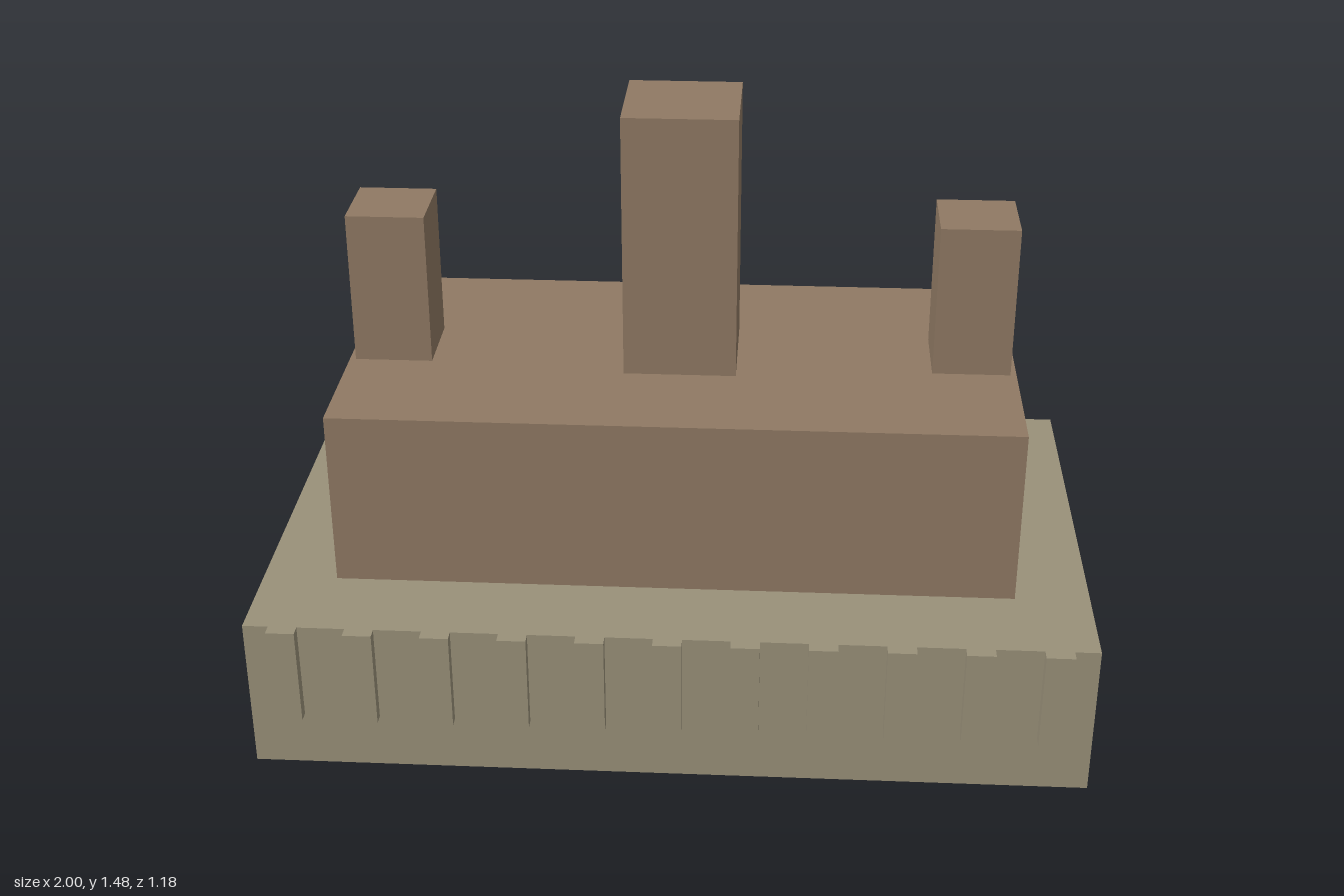
import * as THREE from 'three';

const stone = new THREE.MeshStandardMaterial({ color: 0x999079, side: THREE.DoubleSide });
const brick = new THREE.MeshStandardMaterial({ color: 0x8f7963 });

// Box given by its lower and upper limits on each axis
function block(name, [x0, x1], [y0, y1], [z0, z1], material) {
  const geometry = new THREE.BoxGeometry(x1 - x0, y1 - y0, z1 - z0);
  geometry.translate((x0 + x1) / 2, (y0 + y1) / 2, (z0 + z1) / 2);
  const mesh = new THREE.Mesh(geometry, material);
  mesh.name = name;
  return mesh;
}

export function createModel() {
  const model = new THREE.Group();
  model.name = 'steppedBuilding';
  const baseTop = 0.385, hallTop = 0.825, front = 0.563;

  // Base: thin shell, open underneath
  const base = block('base', [-1, 1], [0, baseTop], [-0.59, front], stone);
  const faces = Array.from(base.geometry.index.array);
  faces.splice(18, 6); // drop the bottom face
  base.geometry.setIndex(faces);
  base.geometry.clearGroups();
  model.add(base);

  // Pilasters: a row of bars set through the front wall
  const pilasters = new THREE.Group();
  pilasters.name = 'pilasters';
  for (let i = -5; i <= 5; i++) {
    const x = i * 0.181;
    pilasters.add(block('pilaster', [x - 0.034, x + 0.034], [0.14, baseTop], [front - 0.028, front + 0.028], stone));
  }
  model.add(pilasters);

  // Upper hall, its floor showing just below the base's top
  model.add(block('hall', [-0.82, 0.82], [baseTop - 0.004, hallTop], [-0.48, 0.343], brick));

  // Towers: tall one in the middle, a small one at each end
  model.add(block('centreTower', [-0.137, 0.137], [hallTop, 1.48], [-0.206, 0.068], brick));
  for (const side of [-1, 1]) {
    const x = side * 0.71;
    model.add(block(side > 0 ? 'leftTower' : 'rightTower', [x - 0.095, x + 0.095], [hallTop, 1.205], [-0.164, 0.026], brick));
  }
  return model;
}
